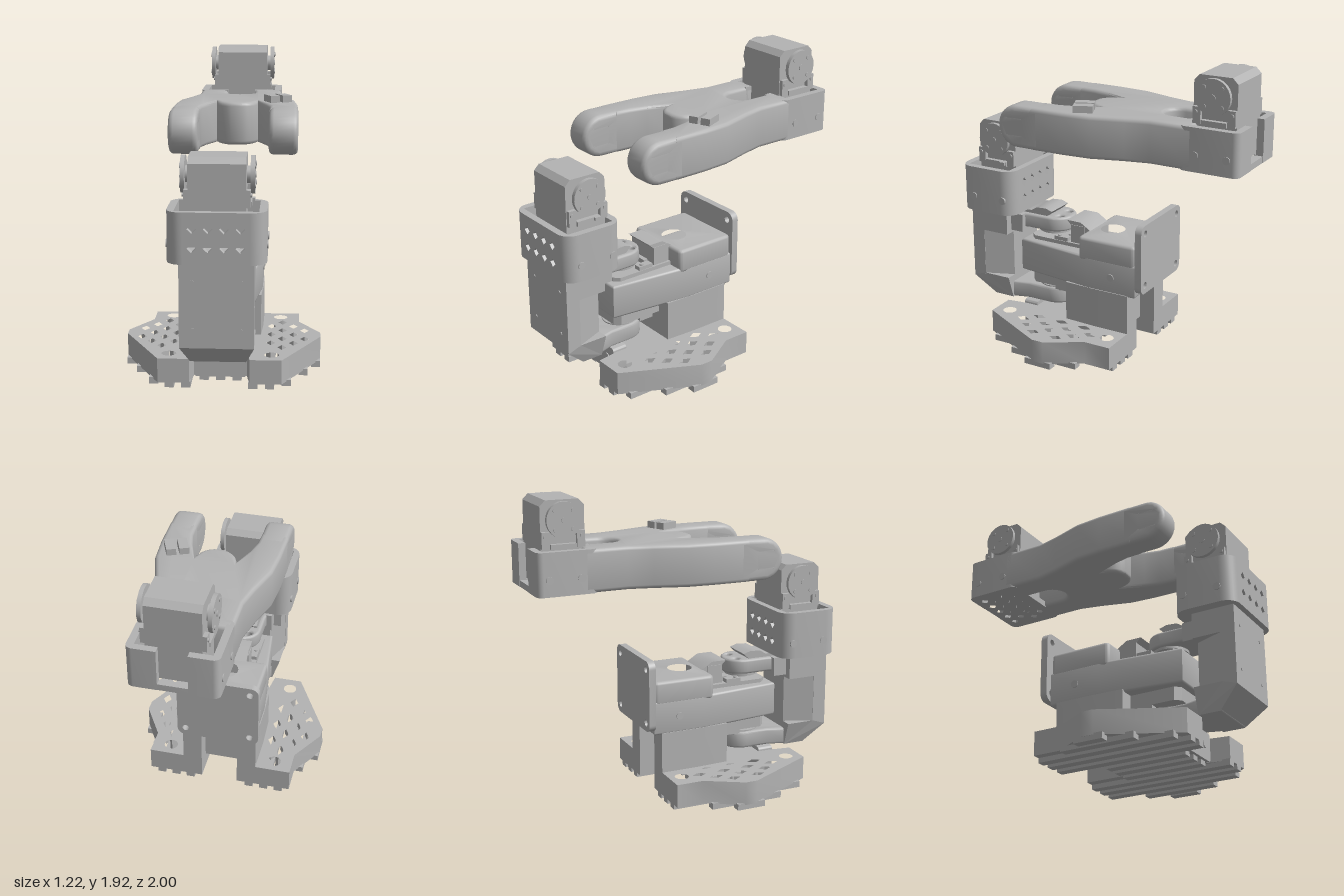
import * as THREE from 'three';
import { toCreasedNormals } from 'three/addons/utils/BufferGeometryUtils.js';

const grey = new THREE.MeshStandardMaterial({ color: 0xb3b3b3 });
grey.name = 'printed grey';

const add = (parent, name, geo) => {
  const m = new THREE.Mesh(geo, grey);
  m.name = name;
  parent.add(m);
  return m;
};
const box = (parent, name, w, h, d, x, y, z) =>
  add(parent, name, new THREE.BoxGeometry(w, h, d).translate(x, y, z));
const arc = (cx, cy, r, a0, a1, n = 8) => Array.from({ length: n + 1 }, (_, i) => {
  const a = (a0 + (a1 - a0) * i / n) * Math.PI / 180;
  return [cx + r * Math.cos(a), cy + r * Math.sin(a)];
});
const circle = (cx, cy, r, n = 16) => arc(cx, cy, r, 0, 360 - 360 / n, n - 1);
const diamond = (cx, cy, a, b = a) => [[cx + a, cy], [cx, cy + b], [cx - a, cy], [cx, cy - b]];
const roundRect = (x0, y0, x1, y1, r) => [
  ...arc(x1 - r, y1 - r, r, 0, 90), ...arc(x0 + r, y1 - r, r, 90, 180),
  ...arc(x0 + r, y0 + r, r, 180, 270), ...arc(x1 - r, y0 + r, r, 270, 360)];

// Extrudes an outline with holes from a to b, optionally with rounded edges
function extrude(pts, holes, a, b, bevel, map) {
  const vec = (list) => list.map((p) => new THREE.Vector2(...map(p)));
  const shape = new THREE.Shape(vec(pts));
  shape.holes = holes.map((h) => new THREE.Path(vec(h)));
  const geo = new THREE.ExtrudeGeometry(shape, {
    depth: b - a - 2 * bevel, bevelEnabled: bevel > 0, bevelThickness: bevel,
    bevelSize: bevel, bevelOffset: -bevel, bevelSegments: 3 });
  return toCreasedNormals(geo.translate(0, 0, a + bevel), 0.6);
}
// slab: points [x, z] raised in y; side: points [z, y] along x; front: points [x, y] along z
const slab = (pts, y0, y1, bevel = 0, holes = []) =>
  extrude(pts, holes, y0, y1, bevel, ([x, z]) => [x, -z]).rotateX(-Math.PI / 2);
const side = (pts, x0, x1, bevel = 0, holes = []) =>
  extrude(pts, holes, x0, x1, bevel, ([z, y]) => [-z, y]).rotateY(Math.PI / 2);
const front = (pts, z0, z1, bevel = 0, holes = []) =>
  extrude(pts, holes, z0, z1, bevel, (p) => p);
const mirror = (pts) => [...pts, ...pts.slice().reverse().map(([x, z]) => [-x, z])];

// Short cylinder along the given axis
function disc(parent, name, r, len, axis, x, y, z) {
  const g = new THREE.CylinderGeometry(r, r, len, 24);
  if (axis === 'x') g.rotateZ(Math.PI / 2);
  if (axis === 'z') g.rotateX(Math.PI / 2);
  return add(parent, name, g.translate(x, y, z));
}

// Servo with its horn axis on local x and its body hanging down
function servo(name) {
  const g = new THREE.Group();
  g.name = name;
  add(g, 'servoCase', side([[0.14, -0.4], [0.14, 0.08], [0.105, 0.115], [-0.1, 0.115],
    [-0.135, 0.08], [-0.135, -0.4]], -0.165, 0.165));
  for (const s of [-1, 1]) {
    disc(g, 'hornHub', 0.05, 0.04, 'x', s * 0.175, 0, 0);
    disc(g, 'horn', 0.11, 0.025, 'x', s * 0.2, 0, 0);
    disc(g, 'hornScrew', 0.018, 0.008, 'x', s * 0.214, 0, 0);
    for (const a of [1, -1]) for (const b of [1, -1])
      disc(g, 'hornScrew', 0.014, 0.008, 'x', s * 0.214, a * 0.056, b * 0.056);
    for (const b of [1, -1]) {
      box(g, 'mountingLug', 0.03, 0.1, 0.05, s * 0.175, -0.12, b * 0.11);
      disc(g, 'lugScrew', 0.012, 0.01, 'x', s * 0.193, -0.1, b * 0.115);
    }
    box(g, 'connector', 0.035, 0.03, 0.16, s * 0.178, -0.16, 0);
  }
  return g;
}

// Walls of a motor tray as two mirrored halves, open between -gap and gap
function trayWalls(parent, w, z0, z1, r, t, gap, y0, y1) {
  const half = [[gap, z1], ...arc(w - r, z1 - r, r, 90, 0), ...arc(w - r, z0 + r, r, 0, -90),
    [gap, z0], [gap, z0 + t], [w - t, z0 + t], [w - t, z1 - t], [gap, z1 - t]];
  for (const s of [-1, 1]) {
    add(parent, 'trayWall', slab(half.map(([x, z]) => [s * x, z]), y0, y1));
    for (const z of [z0 + 0.075, z1 - 0.105])
      disc(parent, 'trayScrew', 0.024, 0.012, 'x', s * w, y0 + 0.1, z);
  }
}

function buildBase(root) {
  const g = new THREE.Group();
  g.name = 'base';
  root.add(g);
  const half = [[0.12, 0.05], [0.12, -0.235], [0.475, -0.235], [0.475, -0.06], [0.61, 0.17],
    [0.61, 0.25], [0.37, 0.72], [0.18, 0.72], [0.16, 0.58]];
  const holes = [];
  const outer = (z) => z < -0.06 ? 0.475 : z < 0.17 ? 0.475 + (z + 0.06) * 0.587
    : z < 0.25 ? 0.61 : 0.61 - (z - 0.25) * 0.51;
  const bolts = [[0.31, 0.62], [0.355, -0.15]];
  for (const s of [-1, 1]) {
    for (const [x, z] of bolts) holes.push(circle(s * x, z, 0.045));
    // Staggered diamond grid on both wings
    for (let i = 0; i < 5; i++) for (let j = 0; j < 6; j++) {
      const x = 0.3 + i * 0.07, z = -0.12 + j * 0.17 + (i % 2) * 0.085;
      const clear = bolts.every(([bx, bz]) => Math.hypot(x - bx, z - bz) > 0.115);
      if (clear && z > -0.18 && z < 0.62 && x < outer(z) - 0.06)
        holes.push(diamond(s * x, z, 0.028, 0.046));
    }
  }
  add(g, 'footPlate', slab(mirror(half), 0.03, 0.18, 0, holes));
  // Ribs below the plate
  for (let i = -6; i <= 6; i++) {
    const x = Math.min(Math.abs(i) * 0.1, 0.58);
    const z1 = x < 0.17 ? 0.58 : x < 0.37 ? 0.72 : 0.25 + (0.61 - x) * 1.958;
    const z0 = x < 0.12 ? 0.05 : x < 0.475 ? -0.235 : -0.06 + (x - 0.475) * 1.704;
    box(g, 'footRib', 0.055, 0.04, z1 - z0, Math.sign(i) * x, 0.02, (z0 + z1) / 2);
  }
  add(g, 'frontBlock', front(roundRect(-0.16, 0.03, 0.16, 0.205, 0.02), 0.5, 0.6));
  for (const x of [-0.09, 0.09]) disc(g, 'blockScrew', 0.026, 0.012, 'z', x, 0.125, 0.6);
  add(g, 'tower', slab(mirror([[0.12, 0.08], [0.12, -0.235], [0.245, -0.235], [0.245, 0.02],
    [0.235, 0.225]]), 0.17, 0.44));
  box(g, 'baseMotor', 0.24, 0.32, 0.22, 0, 0.29, -0.02);
}

function buildLink(root) {
  const g = new THREE.Group();
  g.name = 'shoulderLink';
  root.add(g);
  add(g, 'linkBody', slab(mirror([[0.24, -0.285], [0.24, 0.06], [0.175, 0.6]]), 0.43, 0.65, 0.015));
  add(g, 'linkHousing', slab(roundRect(-0.24, -0.285, 0.24, 0.13, 0.03), 0.62, 0.775, 0.02,
    [circle(0.01, 0.0, 0.1, 24)]));
  box(g, 'motorClip', 0.23, 0.15, 0.1, 0.01, 0.72, 0.2);
  add(g, 'clipRamp', side([[0.24, 0.65], [0.24, 0.78], [0.28, 0.82], [0.18, 0.82], [0.1, 0.77],
    [0.1, 0.65]], -0.1, 0.12));
  for (const s of [-1, 1]) disc(g, 'linkScrew', 0.024, 0.012, 'x', s * 0.24, 0.54, -0.11);
  const bolts = [];
  for (const x of [-0.225, 0.195]) for (const y of [0.52, 0.865]) bolts.push(circle(x, y, 0.022));
  add(g, 'rearPlate', front(roundRect(-0.28, 0.465, 0.25, 0.92, 0.05), -0.335, -0.29, 0, bolts));
  const elbow = servo('elbowServo');
  elbow.quaternion.setFromRotationMatrix(new THREE.Matrix4().makeBasis(
    new THREE.Vector3(0, 1, 0), new THREE.Vector3(0, 0, 1), new THREE.Vector3(1, 0, 0)));
  elbow.position.set(0, 0.51, 0.44);
  g.add(elbow);
}

function buildForearmPost(root) {
  const g = new THREE.Group();
  g.name = 'post';
  root.add(g);
  // Upright with the chamfered foot drawn in
  const post = side([[0.965, 0.85], [0.965, 0.33], [0.83, 0.205], [0.69, 0.205], [0.69, 0.36],
    [0.875, 0.36], [0.875, 0.67], [0.69, 0.67], [0.69, 0.83], [0.6, 0.85]], -0.215, 0.215);
  const p = post.attributes.position;
  for (let i = 0; i < p.count; i++)
    if (p.getY(i) < 0.33) p.setX(i, p.getX(i) * (1 - (0.33 - p.getY(i)) * 1.9));
  post.computeVertexNormals();
  add(g, 'upright', post);
  add(g, 'uprightWeb', slab(mirror([[0.215, 0.88], [0.14, 0.69]]), 0.35, 0.68));
  for (const x of [-0.14, 0.14]) for (const y of [0.44, 0.72])
    disc(g, 'uprightScrew', 0.011, 0.008, 'z', x, y, 0.965);
  // Two fork arms around the elbow servo
  const holes = [];
  for (const a of [-1, 1]) for (const b of [-1, 1]) holes.push(circle(a * 0.056, 0.43 + b * 0.056, 0.022));
  const arm = [[0.165, 0.84], [0.165, 0.72], [0.125, 0.58], ...arc(0, 0.43, 0.125, 0, -180, 18),
    [-0.125, 0.58], [-0.165, 0.72], [-0.165, 0.84]];
  add(g, 'upperFork', slab(arm, 0.715, 0.81, 0.015, holes));
  add(g, 'lowerFork', slab(arm, 0.205, 0.315, 0.015, holes));
  add(g, 'forkRidge', side([[0.7, 0.76], [0.7, 0.83], [0.57, 0.83], [0.53, 0.855], [0.46, 0.86],
    [0.41, 0.845], [0.5, 0.76]], -0.1, 0.1));
  box(g, 'forkRoot', 0.33, 0.12, 0.16, 0, 0.75, 0.68);
  // Motor tray with diamond holes front and back
  trayWalls(g, 0.285, 0.597, 1.0, 0.09, 0.045, 0.19, 0.83, 1.13);
  const vents = [];
  for (const x of [-0.137, -0.046, 0.046, 0.137]) for (const y of [0.925, 1.035])
    vents.push(diamond(x, y, 0.027));
  const panel = [[-0.19, 0.83], [0.19, 0.83], [0.19, 1.13], [-0.19, 1.13]];
  add(g, 'trayFront', front(panel, 0.955, 1.0, 0, vents));
  add(g, 'trayBack', front(panel, 0.597, 0.642, 0, vents));
  add(g, 'trayFloor', slab(roundRect(-0.28, 0.6, 0.28, 0.995, 0.09), 0.83, 0.87));
  const motor = servo('postServo');
  motor.position.set(0, 1.31, 0.775);
  g.add(motor);
  box(g, 'cablePlug', 0.04, 0.02, 0.04, 0.19, 1.155, 0.72);
}

function buildUpperArm(root) {
  const g = new THREE.Group();
  g.name = 'upperArm';
  g.position.x = 0.07;
  root.add(g);
  // Wishbone body with a slot behind and an arch in front
  const right = [...arc(0, -0.49, 0.09, 90, 0, 6), [0.09, -0.69], [0.27, -0.69], [0.27, -0.43],
    [0.305, -0.28], [0.365, -0.08], [0.38, 0.1], [0.383, 0.33], [0.21, 0.33], [0.205, 0.22],
    [0.18, 0.12], ...arc(0, -0.03, 0.13, 0, 90, 6)];
  add(g, 'armBody', slab(mirror(right.slice(0, -1)).filter((_, i, a) => i < a.length - 1),
    1.37, 1.637, 0.025));
  // Rounded fork tips with bolt holes
  const tip = [[0.26, 1.37], ...arc(0.435, 1.5035, 0.1335, -90, 90, 16), [0.26, 1.637]];
  const holes = [];
  for (const z of [0.39, 0.5]) for (const y of [1.447, 1.557])
    holes.push([...arc(z, y, 0.026, -220, 40, 12), [z, y + 0.04]]);
  add(g, 'forkTip', side(tip, 0.21, 0.383, 0.03, holes));
  add(g, 'forkTip', side(tip, -0.383, -0.21, 0.03, holes));
  // Motor tray with a slotted rear wall and a perforated floor
  trayWalls(g, 0.27, -1, -0.62, 0.04, 0.045, 0.09, 1.37, 1.637);
  const vents = [];
  for (let j = 0; j < 4; j++) for (let i = 0; i < 5 - (j % 2); i++)
    vents.push(diamond(-0.18 + i * 0.09 + (j % 2) * 0.045, -0.93 + j * 0.08, 0.027));
  add(g, 'trayFloor', slab(roundRect(-0.265, -0.998, 0.265, -0.62, 0.03), 1.37, 1.41, 0, vents));
  const motor = servo('armServo');
  motor.position.set(0.005, 1.81, -0.805);
  g.add(motor);
  // Cable clips on one limb
  const clips = new THREE.Group();
  clips.name = 'cableClips';
  clips.position.set(0.255, 1.65, 0.02);
  clips.rotation.y = 0.4;
  for (const x of [-0.04, 0.04]) box(clips, 'cableClip', 0.06, 0.06, 0.12, x, 0, 0);
  g.add(clips);
}

export function createModel() {
  const root = new THREE.Group();
  root.name = 'robotArm';
  buildBase(root);
  buildLink(root);
  buildForearmPost(root);
  buildUpperArm(root);
  return root;
}
